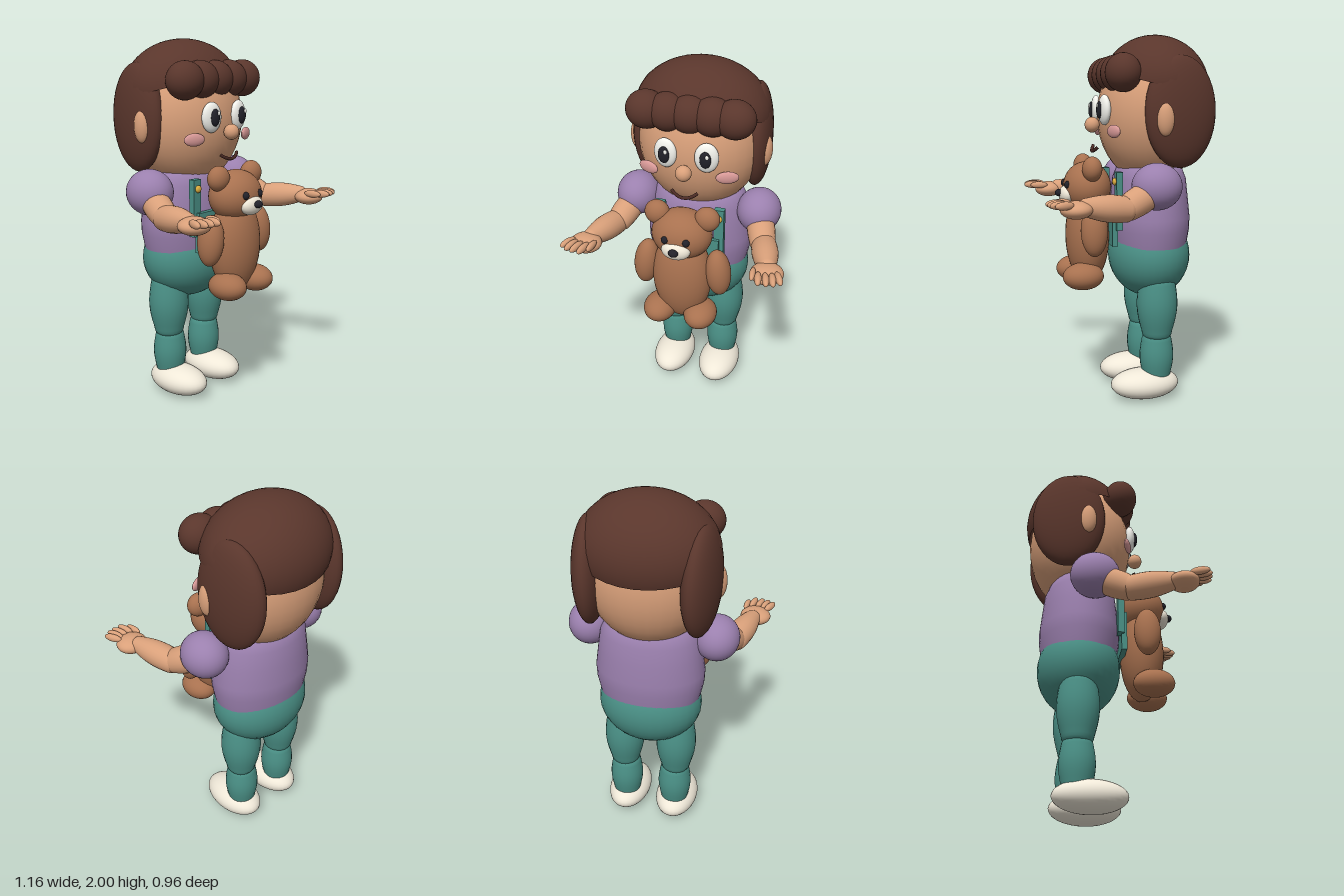
import * as THREE from 'three';

const mat = (color, side = THREE.FrontSide) => new THREE.MeshStandardMaterial({ color, side });
const V = (x, y, z) => new THREE.Vector3(x, y, z);

export function createModel() {
  const model = new THREE.Group();
  const skin = mat(0xd9a07a), hair = mat(0x5a362c), hairOpen = mat(0x5a362c, THREE.DoubleSide);
  const purple = mat(0x9b80ae, THREE.DoubleSide), teal = mat(0x4a9086), cream = mat(0xefe8d8);
  const fur = mat(0xa8714f), white = mat(0xf2f2ec), black = mat(0x22222a);
  const pink = mat(0xd99a98), mouthBrown = mat(0x4a2a24), yellow = mat(0xe0b040);
  const ball = new THREE.SphereGeometry(1, 32, 20);

  const add = (parent, name, geometry, material, pos = [0, 0, 0], rot = [0, 0, 0]) => {
    const m = new THREE.Mesh(geometry, material);
    m.name = name;
    m.position.set(...pos);
    m.rotation.set(...rot);
    parent.add(m);
    return m;
  };
  const blob = (parent, name, material, pos, radii, rot, geometry = ball) => {
    const m = add(parent, name, geometry, material, pos, rot);
    m.scale.set(...radii);
    return m;
  };
  const group = (name) => {
    const g = new THREE.Group();
    g.name = name;
    model.add(g);
    return g;
  };
  // Round-ended limb from a to b, with radius r0 at a, rm halfway and r1 at b
  const limb = (parent, name, material, a, b, r0, rm, r1) => {
    const dir = b.clone().sub(a), len = dir.length(), pts = [];
    for (let i = 0; i <= 6; i++) {
      const t = (i / 6) * Math.PI / 2;
      pts.push(new THREE.Vector2(r0 * Math.sin(t), -0.7 * r0 * Math.cos(t)));
    }
    for (let i = 1; i < 8; i++) {
      const t = i / 8;
      const r = r0 * (1 - t) + r1 * t + (rm - (r0 + r1) / 2) * Math.sin(Math.PI * t);
      pts.push(new THREE.Vector2(r, len * t));
    }
    for (let i = 0; i <= 6; i++) {
      const t = (i / 6) * Math.PI / 2;
      pts.push(new THREE.Vector2(r1 * Math.cos(t), len + 0.7 * r1 * Math.sin(t)));
    }
    const m = add(parent, name, new THREE.LatheGeometry(pts, 24), material, a.toArray());
    m.quaternion.setFromUnitVectors(V(0, 1, 0), dir.normalize());
    return m;
  };

  // Head and face
  const head = group('head');
  blob(head, 'skull', skin, [0, 1.57, -0.165], [0.335, 0.37, 0.29]);
  blob(head, 'nose', skin, [0, 1.52, 0.16], [0.042, 0.042, 0.04]);
  for (const s of [1, -1]) {
    blob(head, 'ear', skin, [s * 0.35, 1.555, -0.15], [0.04, 0.09, 0.048]);
    blob(head, 'eyeWhite', white, [s * 0.108, 1.6, 0.115], [0.062, 0.08, 0.03], [0, s * 0.15, 0]);
    blob(head, 'pupil', black, [s * 0.108, 1.6, 0.142], [0.03, 0.045, 0.016]);
    blob(head, 'glint', white, [s * 0.108 + 0.012, 1.622, 0.156], [0.009, 0.012, 0.006]);
    blob(head, 'cheek', pink, [s * 0.21, 1.49, 0.087], [0.06, 0.034, 0.016], [0, s * 0.35, 0]);
  }
  const smile = new THREE.QuadraticBezierCurve3(V(-0.07, 1.405, 0.14), V(0, 1.35, 0.18), V(0.07, 1.405, 0.14));
  add(head, 'mouth', new THREE.TubeGeometry(smile, 16, 0.009, 8), mouthBrown);

  // Hair: tilted cap, side locks and a row of rolled bangs
  const cap = new THREE.SphereGeometry(1, 32, 16, 0, Math.PI * 2, 0, Math.PI * 0.52);
  blob(head, 'hairCap', hairOpen, [0, 1.72, -0.19], [0.362, 0.28, 0.29], [-0.3, 0, 0], cap);
  for (const s of [1, -1])
    blob(head, 'sideLock', hair, [s * 0.285, 1.59, -0.25], [0.085, 0.29, 0.2], [0, s * 0.15, 0]);
  for (let i = -2; i <= 2; i++)
    blob(head, 'bang', hair, [i * 0.115, 1.79, 0.042], [0.107, 0.1, 0.094]);

  // Torso in a shirt, with dungarees
  const body = group('body');
  const profile = [[0, 1.335], [0.16, 1.33], [0.235, 1.295], [0.268, 1.23], [0.283, 1.13],
    [0.298, 1.02], [0.295, 0.95], [0.277, 0.865]].reverse().map((p) => new THREE.Vector2(...p));
  const shirt = add(body, 'shirt', new THREE.LatheGeometry(profile, 40), purple, [0, 0, -0.16]);
  shirt.scale.z = 0.74;
  blob(body, 'trousers', teal, [0, 0.8, -0.16], [0.285, 0.24, 0.225]);
  add(body, 'bib', new THREE.BoxGeometry(0.34, 0.22, 0.03), teal, [0, 0.985, 0.07]);
  for (const s of [1, -1]) {
    add(body, 'strap', new THREE.BoxGeometry(0.055, 0.31, 0.035), teal, [s * 0.165, 1.12, 0.05]);
    blob(body, 'button', yellow, [s * 0.165, 1.225, 0.073], [0.02, 0.02, 0.012]);
  }

  for (const s of [1, -1]) {
    const side = s > 0 ? 'left' : 'right';
    // Leg and shoe
    const leg = group(side + 'Leg');
    limb(leg, 'thigh', teal, V(s * 0.15, 0.66, -0.17), V(s * 0.15, 0.39, -0.17), 0.1, 0.112, 0.085);
    limb(leg, 'shin', teal, V(s * 0.145, 0.34, -0.17), V(s * 0.145, 0.15, -0.17), 0.083, 0.094, 0.08);
    blob(leg, 'shoe', cream, [s * 0.145, 0.09, -0.103], [0.12, 0.085, 0.192]);

    // Arm reaching forward, palm up
    const arm = group(side + 'Arm');
    blob(arm, 'puffSleeve', purple, [s * 0.345, 1.212, -0.108], [0.12, 0.122, 0.132]);
    limb(arm, 'upperArm', skin, V(s * 0.36, 1.18, -0.07), V(s * 0.405, 1.115, 0.06), 0.07, 0.075, 0.068);
    limb(arm, 'forearm', skin, V(s * 0.415, 1.11, 0.07), V(s * 0.475, 1.135, 0.29), 0.066, 0.068, 0.045);
    blob(arm, 'palm', skin, [s * 0.485, 1.125, 0.335], [0.085, 0.045, 0.08], [0, s * 0.2, 0]);
    const fingers = [[0.45, 0.385, 0.468, 0.478], [0.485, 0.385, 0.508, 0.472],
      [0.517, 0.38, 0.541, 0.462], [0.54, 0.365, 0.572, 0.44]];
    for (const [x0, z0, x1, z1] of fingers)
      blob(arm, 'finger', skin, [s * (x0 + x1) / 2, 1.155, (z0 + z1) / 2], [0.018, 0.021, 0.052],
        [0, s * Math.atan2(x1 - x0, z1 - z0), 0]);
    blob(arm, 'thumb', skin, [s * 0.425, 1.155, 0.40], [0.016, 0.02, 0.05], [0, s * 0.1, 0]);
  }

  // Teddy bear held in front
  const bear = group('teddyBear');
  blob(bear, 'bearBody', fur, [0, 0.92, 0.19], [0.163, 0.27, 0.12]);
  blob(bear, 'bearHead', fur, [0, 1.185, 0.19], [0.163, 0.138, 0.13]);
  blob(bear, 'bearMuzzle', cream, [0, 1.145, 0.3], [0.078, 0.052, 0.045]);
  blob(bear, 'bearNose', black, [0, 1.155, 0.345], [0.027, 0.02, 0.022]);
  for (const s of [1, -1]) {
    blob(bear, 'bearEye', black, [s * 0.057, 1.203, 0.307], [0.019, 0.021, 0.018]);
    blob(bear, 'bearEar', fur, [s * 0.135, 1.29, 0.187], [0.067, 0.067, 0.053]);
    blob(bear, 'bearArm', fur, [s * 0.2, 0.97, 0.19], [0.069, 0.137, 0.072], [0, 0, s * 0.1]);
    blob(bear, 'bearFoot', fur, [s * 0.115, 0.71, 0.235], [0.09, 0.074, 0.112]);
  }
  return model;
}
